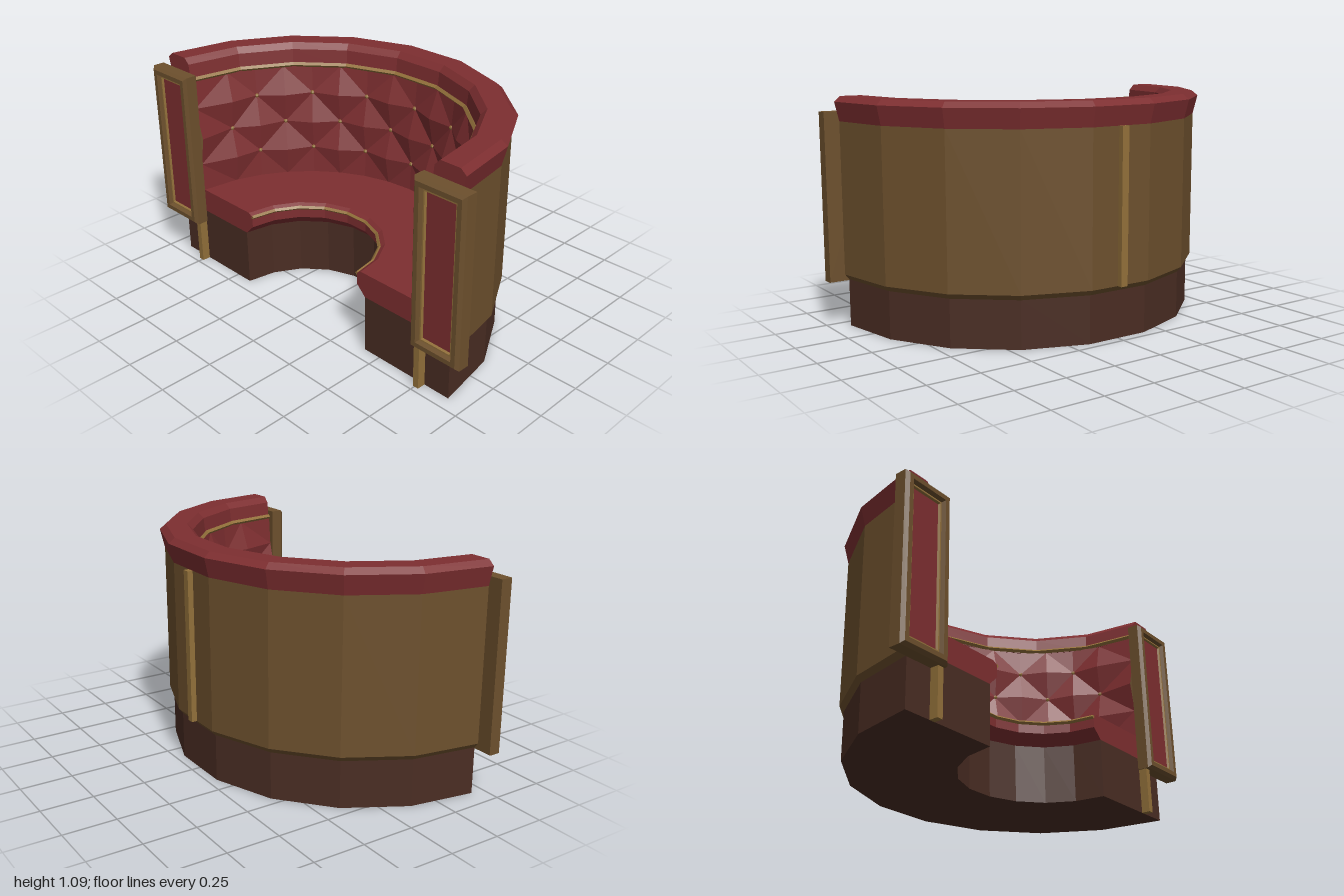
import * as THREE from 'three';
import { mergeGeometries } from 'three/addons/utils/BufferGeometryUtils.js';

const ZC = 0.435;   // z of the arc centre
const SEGMENTS = 9; // facets in the half circle

const paint = (name, color) => {
  const m = new THREE.MeshStandardMaterial({ color });
  m.name = name;
  return m;
};

// Facet a geometry with one normal per triangle
function faceted(geometry) {
  const g = geometry.index ? geometry.toNonIndexed() : geometry;
  g.deleteAttribute('uv');
  g.computeVertexNormals();
  return g;
}

// Sweep a closed counter-clockwise [radius, y] profile round the half circle and cap both ends
function arcSweep(profile) {
  const pts = profile.map(([r, y]) => new THREE.Vector2(r, y));
  const body = new THREE.LatheGeometry([...pts, pts[0]], SEGMENTS, Math.PI / 2, Math.PI);
  const caps = [1, -1].map((s) =>
    new THREE.ShapeGeometry(new THREE.Shape(pts.map((p) => new THREE.Vector2(s * p.x, p.y)))));
  return mergeGeometries([body, ...caps].map(faceted)).translate(0, 0, ZC);
}

function fromTriangles(positions) {
  const g = new THREE.BufferGeometry();
  g.setAttribute('position', new THREE.Float32BufferAttribute(positions, 3));
  g.computeVertexNormals();
  return g;
}

// Rectangular moulding: each step is [inset from the outer edge, z]
function moulding(halfW, halfH, steps) {
  const corners = [[-1, -1], [1, -1], [1, 1], [-1, 1]];
  const point = (k, [inset, z]) => {
    const [sx, sy] = corners[k % 4];
    return [sx * (halfW - inset), sy * (halfH - inset), z];
  };
  const out = [];
  for (let i = 0; i < steps.length - 1; i++) {
    for (let k = 0; k < 4; k++) {
      const a = point(k, steps[i]), b = point(k + 1, steps[i]);
      const c = point(k + 1, steps[i + 1]), d = point(k, steps[i + 1]);
      out.push(...a, ...b, ...c, ...a, ...c, ...d);
    }
  }
  return fromTriangles(out);
}

// Tufting grid: buttons and peaks alternate like a chessboard
const ROW_Y = [0.395, 0.54, 0.685, 0.835, 0.975];
const BUTTON_R = [0.735, 0.742, 0.752, 0.76, 0.772];
const HALF_COLUMNS = 8;
const HALF_STEP = THREE.MathUtils.degToRad(10.75);
const isButton = (i, j) => (i + j) % 2 !== 0;

function tuftPoint(i, j) {
  const angle = Math.abs(i) === HALF_COLUMNS ? Math.sign(i) * Math.PI / 2 : i * HALF_STEP;
  const edge = j === 0 || j === ROW_Y.length - 1;
  const r = BUTTON_R[j] - (isButton(i, j) || edge ? 0 : 0.036);
  return [r * Math.sin(angle), ROW_Y[j], ZC - r * Math.cos(angle)];
}

function tuftedBack() {
  const out = [];
  for (let i = -HALF_COLUMNS; i < HALF_COLUMNS; i++) {
    for (let j = 0; j < ROW_Y.length - 1; j++) {
      const a = tuftPoint(i, j), b = tuftPoint(i + 1, j);
      const c = tuftPoint(i + 1, j + 1), d = tuftPoint(i, j + 1);
      // the crease always runs from button to button
      if (isButton(i, j)) out.push(...a, ...b, ...c, ...a, ...c, ...d);
      else out.push(...a, ...b, ...d, ...b, ...c, ...d);
    }
  }
  return fromTriangles(out);
}

export function createModel() {
  const red = paint('red leather', 0x7d2e30);
  const wood = paint('brown wood', 0x6d502d);
  const dark = paint('dark plinth', 0x4a2d23);
  const gold = paint('brass trim', 0x92703a);

  const model = new THREE.Group();
  model.name = 'curvedBooth';
  const add = (parent, name, geometry, material, x = 0, y = 0, z = 0) => {
    const mesh = new THREE.Mesh(geometry, material);
    mesh.name = name;
    mesh.position.set(x, y, z);
    parent.add(mesh);
    return mesh;
  };
  const box = (w, h, d) => new THREE.BoxGeometry(w, h, d);

  // Plinth, shell, seat and top rail
  add(model, 'plinth', arcSweep([[0.41, 0], [0.905, 0], [0.905, 0.225], [0.78, 0.28], [0.41, 0.28]]), dark);
  add(model, 'outerShell', arcSweep([
    [0.79, 0.225], [0.905, 0.225], [0.925, 0.25], [0.925, 0.97], [0.79, 0.97]]), wood);
  add(model, 'seat', arcSweep([
    [0.41, 0.28], [0.775, 0.28], [0.775, 0.4], [0.385, 0.4], [0.36, 0.385], [0.36, 0.33]]), red);
  add(model, 'topRail', arcSweep([
    [0.778, 0.97], [0.925, 0.97], [0.947, 1.06], [0.917, 1.085],
    [0.815, 1.085], [0.787, 1.057]]), red);

  // Tufted backrest with buttons
  add(model, 'tuftedBackrest', tuftedBack(), red);
  const buttons = new THREE.Group();
  buttons.name = 'buttons';
  model.add(buttons);
  const buttonGeometry = faceted(new THREE.SphereGeometry(0.011, 6, 4));
  for (let j = 1; j <= 3; j++) {
    for (let i = 1 - HALF_COLUMNS; i < HALF_COLUMNS; i++) {
      if (isButton(i, j)) add(buttons, 'button', buttonGeometry, gold, ...tuftPoint(i, j));
    }
  }

  // Brass beads along the seat edge and under the rail
  const bead = (r, y, s) => arcSweep([[r - s, y], [r, y - s], [r + s, y], [r, y + s]]);
  add(model, 'seatBead', bead(0.36, 0.383, 0.01), gold);
  add(model, 'railBead', bead(0.773, 0.982, 0.012), gold);

  // Brass strip down the middle of the back
  add(model, 'backStrip', box(0.036, 0.72, 0.04), gold, 0, 0.61, -0.482);

  // Framed end panels with a brass leg below each
  const W = 0.1325, H = 0.3975;
  for (const side of [1, -1]) {
    const end = new THREE.Group();
    end.name = side > 0 ? 'leftEndPanel' : 'rightEndPanel';
    end.position.set(side * 0.8675, 0.6175, ZC);
    model.add(end);
    add(end, 'panelBacking', box(2 * W - 0.002, 2 * H - 0.002, 0.04), wood, 0, 0, 0.02);
    add(end, 'panelFrame', moulding(W, H, [
      [0, 0], [0, 0.055], [0.014, 0.07], [0.036, 0.07], [0.048, 0.045]]), wood);
    add(end, 'panelBead', moulding(W, H, [
      [0.044, 0.04], [0.046, 0.054], [0.053, 0.054], [0.06, 0.042]]), gold);
    add(end, 'panelInlay', box(2 * W - 0.1, 2 * H - 0.1, 0.008), red, 0, 0, 0.041);
    add(model, 'frontLeg', box(0.03, 0.23, 0.042), gold, side * 0.756, 0.115, 0.455);
  }
  return model;
}
